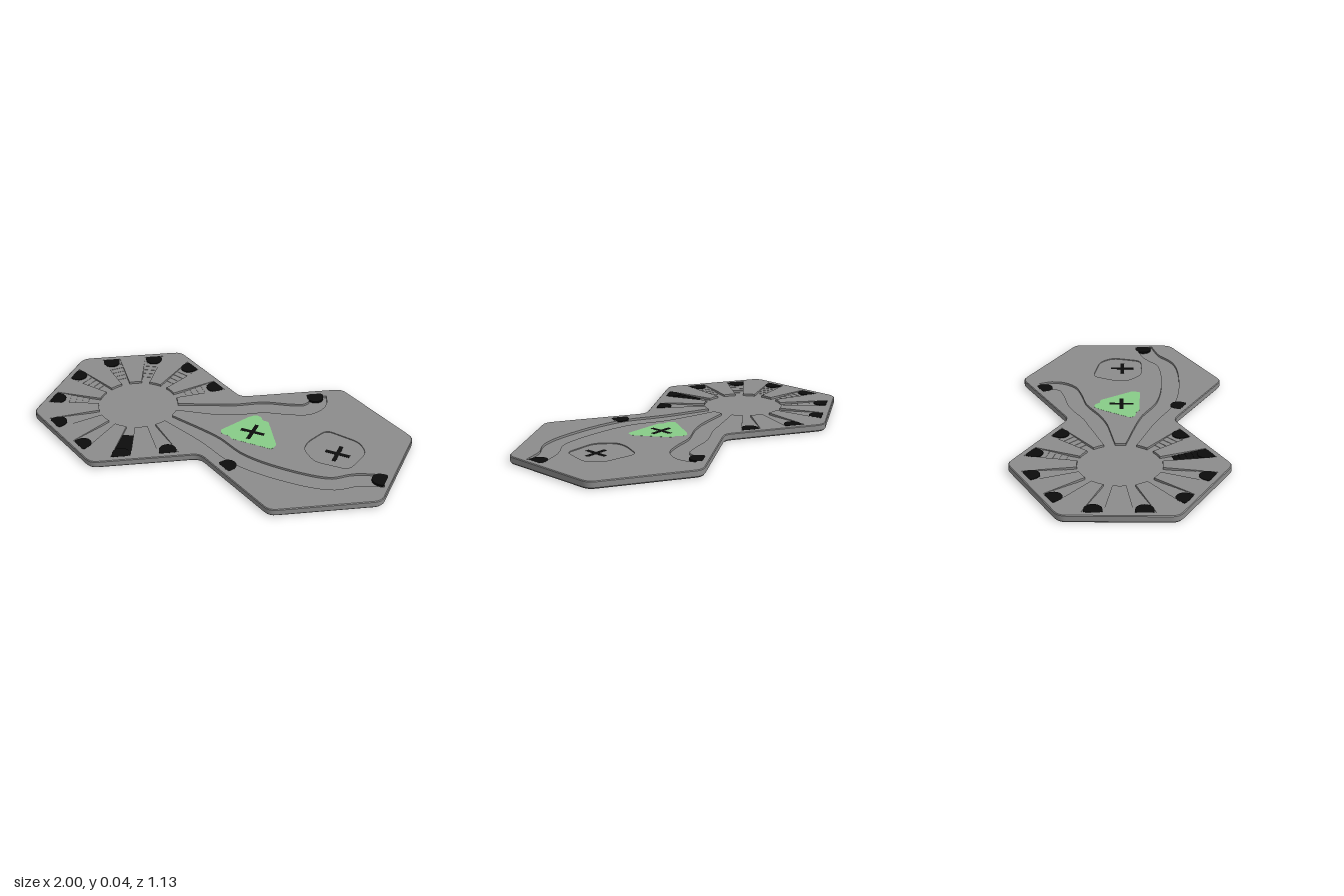
import * as THREE from 'three';
import { toCreasedNormals } from 'three/addons/utils/BufferGeometryUtils.js';

const TOP = 0.04, FLOOR = 0.028, HUB_X = -0.5, HUB_R = 0.22;
const HALF = THREE.MathUtils.degToRad(6);
const rad = THREE.MathUtils.degToRad;

// All plan outlines are lists of [x, z], running from +x towards +z.
const polar = (a, r) => [HUB_X + r * Math.cos(a), r * Math.sin(a)];
const toShape = (pts) => new THREE.Shape(pts.map(([x, z]) => new THREE.Vector2(x, -z)));

function roundCorners(pts, cut) {
  const out = [];
  pts.forEach((p, i) => {
    const v = new THREE.Vector2(...p);
    const toward = (q) => {
      const w = new THREE.Vector2(...q).sub(v);
      return v.clone().add(w.setLength(Math.min(cut, w.length() * 0.45)));
    };
    const a = toward(pts[(i + pts.length - 1) % pts.length]);
    const b = toward(pts[(i + 1) % pts.length]);
    for (const q of new THREE.QuadraticBezierCurve(a, v, b).getPoints(4)) out.push([q.x, q.y]);
  });
  return out;
}

function inset(pts, d) {
  const n = pts.length;
  return pts.map(([x, z], i) => {
    const a = pts[(i + n - 1) % n], b = pts[(i + 1) % n];
    const dx = b[0] - a[0], dz = b[1] - a[1], l = Math.hypot(dx, dz);
    return [x - (d * dz) / l, z + (d * dx) / l];
  });
}

// Skin between stacked outlines; listing them downwards makes the wall face inwards.
function skin(rings) {
  const pos = [];
  for (let k = 0; k < rings.length - 1; k++) {
    const [lo, y0] = rings[k], [hi, y1] = rings[k + 1];
    for (let i = 0; i < lo.length; i++) {
      const j = (i + 1) % lo.length;
      const b0 = [lo[i][0], y0, lo[i][1]], b1 = [lo[j][0], y0, lo[j][1]];
      const t0 = [hi[i][0], y1, hi[i][1]], t1 = [hi[j][0], y1, hi[j][1]];
      pos.push(...b0, ...t0, ...t1, ...b0, ...t1, ...b1);
    }
  }
  const g = new THREE.BufferGeometry();
  g.setAttribute('position', new THREE.Float32BufferAttribute(pos, 3));
  return toCreasedNormals(g, 0.5);
}

function face(pts, y, holes = []) {
  const s = toShape(pts);
  s.holes = holes.map(toShape);
  return new THREE.ShapeGeometry(s).rotateX(-Math.PI / 2).translate(0, y, 0);
}

function slab(pts, y0, y1) {
  return new THREE.ExtrudeGeometry(toShape(pts), { depth: y1 - y0, bevelEnabled: false })
    .rotateX(-Math.PI / 2).translate(0, y0, 0);
}

// Outline of a winding channel: out along one side, back along the other.
function channel(path) {
  const curve = new THREE.CatmullRomCurve3(path.map(([x, z]) => new THREE.Vector3(x, 0, z)));
  const near = [], far = [], N = 40;
  for (let i = 0; i <= N; i++) {
    const p = curve.getPointAt(i / N), d = curve.getTangentAt(i / N);
    const w = 0.03 + 0.02 * Math.min(1, i / 10);
    near.push([p.x + d.z * w, p.z - d.x * w]);
    far.unshift([p.x - d.z * w, p.z + d.x * w]);
  }
  return [...near, ...far];
}

// Distance from the hub to the flat end of a spoke, parallel to the hexagon's edge.
const edgeAngle = (a) => Math.round(a / (Math.PI / 3)) * (Math.PI / 3);
const endR = (a, spoke) => 0.468 / Math.cos(a - edgeAngle(spoke));

function plus(x) {
  const l = 0.067, t = 0.011;
  return [[l, -t], [l, t], [t, t], [t, l], [-t, l], [-t, t], [-l, t], [-l, -t],
    [-t, -t], [-t, -l], [t, -l], [t, -t]].map(([px, pz]) => [x + px, pz]);
}

export function createModel() {
  const group = new THREE.Group();
  const material = (name, color) => {
    const m = new THREE.MeshStandardMaterial({ color });
    m.name = name;
    return m;
  };
  const grey = material('stone grey', 0x8c8c8c);
  const black = material('black', 0x0c0c0c);
  const green = material('soft green', 0x88cc88);
  const add = (name, geometry, mat) => {
    const m = new THREE.Mesh(geometry, mat);
    m.name = name;
    group.add(m);
  };

  // Outline of the two joined hexagons
  const h = 0.2887, t = 0.5774;
  const outline = roundCorners([[1, h], [0.5, t], [0, h], [-0.5, t], [-1, h],
    [-1, -h], [-0.5, -t], [0, -h], [0.5, -t], [1, -h]], 0.04);

  // Recess: round hub, ten spokes and two channels
  const channels = {
    0: channel([[-0.288, 0.057], [0, 0.15], [0.2, 0.245], [0.47, 0.28], [0.72, 0.255],
      [0.83, 0.175], [0.96, 0.13]]),
    11: channel([[-0.288, -0.057], [0, -0.15], [0.16, -0.24], [0.3, -0.278], [0.385, -0.315],
      [0.42, -0.385], [0.395, -0.46]]),
  };
  const recess = [];
  for (let k = 0; k < 12; k++) {
    const a = rad(15 + 30 * k);
    if (channels[k]) recess.push(...channels[k]);
    else {
      recess.push(polar(a - HALF, HUB_R), polar(a - HALF, endR(a - HALF, a)),
        polar(a + HALF, endR(a + HALF, a)), polar(a + HALF, HUB_R));
    }
    for (let i = 1; i < 5; i++) {
      recess.push(polar(a + HALF + ((rad(30) - 2 * HALF) * i) / 5, HUB_R));
    }
  }

  // Shallow pocket around the second cross
  const pocket = roundCorners([[0.14, -0.06], [0.1, 0.11], [-0.09, 0.115], [-0.175, 0.04],
    [-0.18, -0.03], [-0.12, -0.17], [0.08, -0.135]].map(([x, z]) => [0.667 + x, z]), 0.04);

  // Plate
  const top = inset(outline, 0.004);
  const bottom = inset(outline, 0.006);
  add('plateRim', skin([[bottom, 0], [outline, 0.007], [outline, 0.036], [top, TOP]]), grey);
  add('plateTop', face(top, TOP, [recess, pocket]), grey);
  add('plateUnderside', face(bottom, 0).rotateX(Math.PI), grey);
  add('recessWall', skin([[recess, TOP], [recess, FLOOR]]), grey);
  add('recessFloor', face(recess, FLOOR), grey);
  add('pocketWall', skin([[pocket, TOP], [pocket, 0.035]]), grey);
  add('pocketFloor', face(pocket, 0.035), grey);

  // Steps rising outwards along each spoke; one spoke is black
  const radii = [0.285, 0.32, 0.355, 0.39, 0.425];
  for (let k = 1; k < 11; k++) {
    const a = rad(15 + 30 * k);
    radii.forEach((r, i) => {
      const outer = (b) => polar(b, radii[i + 1] ?? endR(b, a));
      const quad = [polar(a - HALF, r), outer(a - HALF), outer(a + HALF), polar(a + HALF, r)];
      add('spokeStep', slab(quad, FLOOR, FLOOR + 0.0018 * (i + 1)), k === 2 ? black : grey);
    });
  }

  // Rounded end pads, flat side towards the rim
  function pad(cx, k, y) {
    const a = rad(15 + 30 * k), n = edgeAngle(a), side = Math.sign(Math.sin(a - n));
    const place = (u, v) => [cx + u * Math.cos(n) - v * Math.sin(n),
      u * Math.sin(n) + v * Math.cos(n)];
    const mid = 0.124 * side, R = 0.046, pts = [];
    pts.push(place(0.462, mid - R), place(0.47, mid - R + 0.012),
      place(0.47, mid + R - 0.012), place(0.462, mid + R));
    for (let i = 0; i <= 10; i++) {
      const b = Math.PI / 2 + (Math.PI * i) / 10;
      pts.push(place(0.44 + R * Math.cos(b), mid + R * Math.sin(b)));
    }
    add('endPad', slab(pts, y - 0.005, y), black);
  }
  for (let k = 1; k < 11; k++) pad(HUB_X, k, 0.0405);
  pad(0.5, 0, 0.0345);
  pad(0.5, 8, 0.0345);
  pad(0.5, 4, 0.0405);
  pad(0.5, 8, 0.0405);
  pad(0.5, 0, 0.0405);

  // Green patch and the two crosses
  const patch = roundCorners([[0.345, 0.06], [0.335, 0.104], [0.1, 0.1], [0.085, 0.082],
    [0.035, 0.078], [0.018, 0.05], [0.115, -0.12], [0.145, -0.153], [0.18, -0.145],
    [0.198, -0.118], [0.23, -0.12]], 0.012);
  add('greenPatch', slab(patch, 0.039, 0.0406), green);
  add('patchCross', slab(plus(0.185), 0.039, 0.0412), black);
  add('pocketCross', slab(plus(0.667), 0.034, 0.0362), black);

  return group;
}
